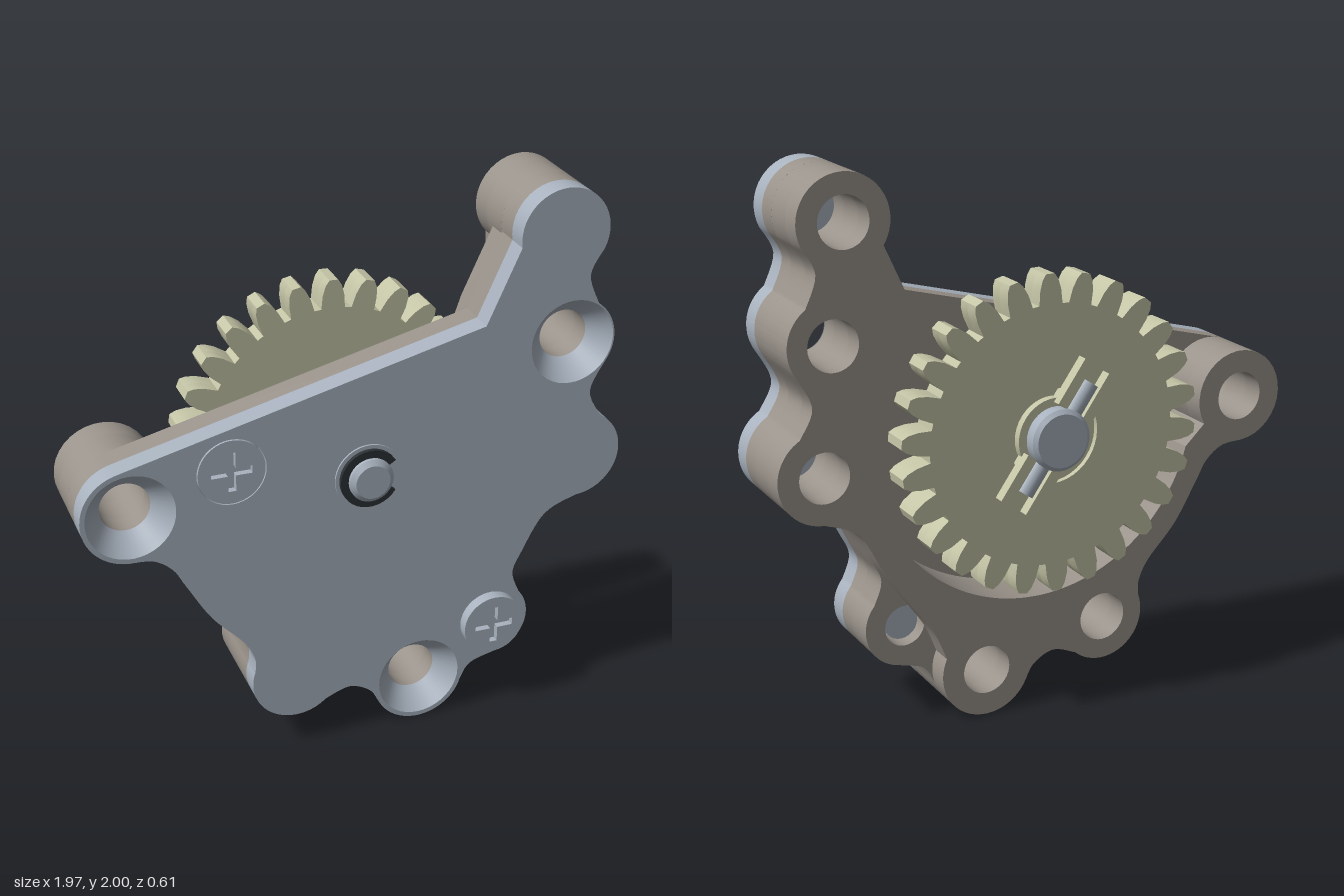
import * as THREE from 'three';
import { toCreasedNormals } from 'three/addons/utils/BufferGeometryUtils.js';

const mat = (name, color, side = THREE.FrontSide) => {
  const m = new THREE.MeshStandardMaterial({ color, side });
  m.name = name;
  return m;
};
const V = (x, y) => new THREE.Vector2(x, y);
const DEG = Math.PI / 180;

// Points along an arc, angles in degrees
function arc(x, y, r, a0, a1, n = 28) {
  return Array.from({ length: n + 1 }, (_, i) => {
    const a = (a0 + (a1 - a0) * i / n) * DEG;
    return V(x + r * Math.cos(a), y + r * Math.sin(a));
  });
}

// Chains arcs; a part marked {via} becomes a smooth valley between its neighbours
function chain(parts) {
  const out = [];
  parts.forEach((p, i) => {
    if (!p.via) { out.push(...p); return; }
    const prev = parts[i - 1], next = parts[(i + 1) % parts.length];
    const spline = new THREE.SplineCurve([prev[prev.length - 1], ...p.via.map(q => V(...q)), next[0]]);
    out.push(...spline.getPoints(p.via.length * 6 + 6).slice(1, -1));
  });
  return out;
}

function createModel() {
  const group = new THREE.Group();
  const steel = mat('blue grey steel', 0xa8b2be);
  const steelOpen = mat('blue grey steel inner', 0xa8b2be, THREE.DoubleSide);
  const casing = mat('warm grey casing', 0x9a938b);
  const cream = mat('pale olive plastic', 0xc4c4a6);
  const black = mat('black clip', 0x2b3135);
  const CX = 0.02, CY = 1.05;

  const add = (name, geo, material, parent = group) => {
    const m = new THREE.Mesh(geo, material);
    m.name = name;
    parent.add(m);
    return m;
  };
  // Slab of a 2D outline between two depths, with round holes [x, y, r]
  const slab = (name, pts, z0, z1, material, holes = [], crease = 0.5) => {
    const s = new THREE.Shape(pts);
    for (const h of holes) {
      s.holes.push(Array.isArray(h) ? new THREE.Path(arc(...h, 0, 360, 40).slice(0, -1)) : h);
    }
    const g = new THREE.ExtrudeGeometry(s, { depth: z1 - z0, bevelEnabled: false });
    g.translate(0, 0, z0);
    return add(name, toCreasedNormals(g, crease), material);
  };
  // Round rod along z; r1 is the radius at the front end
  const rod = (name, x, y, r0, r1, z0, z1, material) => {
    const g = new THREE.CylinderGeometry(r1, r0, z1 - z0, 40).rotateX(Math.PI / 2);
    g.translate(x, y, (z0 + z1) / 2);
    return add(name, g, material);
  };

  // Bosses around the outline
  const L = [-0.815, 1.048], T = [0.722, 1.837], U = [0.77, 1.435], R = [0.815, 0.99];
  const S = [0.5, 0.366], B = [0.225, 0.175], K = [-0.246, 0.286], P = [-0.465, 1.155];
  const rightSide = [
    { via: [[0.823, 1.676]] }, arc(...U, 0.16, 55, -30),
    { via: [[0.85, 1.236]] }, arc(...R, 0.165, 60, -88),
  ];
  const screwLobe = [
    { via: [[0.70, 0.77], [0.616, 0.626], [0.585, 0.546]] }, arc(...S, 0.148, 40, -78),
    { via: [[0.43, 0.19]] }, arc(...B, 0.172, -15, -155),
  ];
  const noScrewLobe = [
    { via: [[0.70, 0.77], [0.616, 0.626], [0.53, 0.5], [0.43, 0.36]] }, arc(...B, 0.172, 25, -155),
  ];
  const leftSide = [
    { via: [[0.034, 0.16], [-0.045, 0.196]] }, arc(...K, 0.163, -48, -200),
    { via: [[-0.4, 0.4], [-0.44, 0.477], [-0.55, 0.6], [-0.638, 0.748], [-0.68, 0.82], [-0.745, 0.868]] },
  ];
  const full = chain([
    arc(...L, 0.172, 265, 104), [V(0.442, 1.544)], arc(...T, 0.163, 190, -25),
    ...rightSide, ...screwLobe, ...leftSide,
  ]);
  const wall = lobe => chain([
    arc(...T, 0.163, 222, -25), ...rightSide, ...lobe, ...leftSide,
    arc(...L, 0.172, 265, -30), arc(CX, CY, 0.63, 195, 380, 60),
    { via: [[0.615, 1.4], [0.605, 1.58]] },
  ]);

  // Casing: floor, middle wall with the screw lobe, rear wall without it
  const bores = [L, T, U, R, B, K].map(p => [...p, 0.09]);
  slab('casingFloor', full, 0.09, 0.175, casing, bores);
  slab('casingMiddleWall', wall(screwLobe), -0.035, 0.09, casing, [...bores, [...S, 0.075]]);
  slab('casingRearWall', wall(noScrewLobe), -0.125, -0.035, casing, bores);
  slab('casingLedge', [V(0.41, 1.43), V(0.455, 1.56), V(0.565, 1.8), V(0.64, 1.75), V(0.64, 1.4)],
    0.01, 0.09, casing);

  // Cover plate with three countersunk holes
  const sunk = [L, U, B];
  slab('coverPlate', full, 0.175, 0.255, steel, [...sunk.map(p => [...p, 0.155]), [...P, 0.122]]);
  for (const p of sunk) {
    const g = new THREE.LatheGeometry([V(0.088, 0), V(0.155, 0.08)], 40).rotateX(Math.PI / 2);
    g.translate(p[0], p[1], 0.175);
    add('countersink', g, steelOpen);
  }

  // Cross-head screws: slotted head, slot bottom and shank
  const cross = (x, y, a = 0.072, w = 0.014) => new THREE.Path(
    [[a, w], [w, w], [w, a], [-w, a], [-w, w], [-a, w], [-a, -w], [-w, -w], [-w, -a], [w, -a], [w, -w], [a, -w]]
      .map(q => V(x + q[0], y + q[1])));
  const screw = ([x, y], r, z0, z1, tip) => {
    slab('screwHead', arc(x, y, r, 0, 360, 40).slice(0, -1), z1 - 0.025, z1, steel, [cross(x, y)]);
    rod('screwHeadBase', x, y, r, r, z0, z1 - 0.025, steel);
    rod('screwShank', x, y, 0.063, 0.063, tip, z0, steel);
  };
  screw(S, 0.115, 0.25, 0.297, 0.0);
  screw(P, 0.118, 0.18, 0.256, -0.04);

  // Gear outline
  const teeth = 26, gear = [];
  const half = [[0.466, 0.094], [0.515, 0.077], [0.55, 0.054], [0.57, 0.028]];
  for (let i = 0; i < teeth; i++) {
    const mid = 88.4 * DEG + i * 2 * Math.PI / teeth;
    const side = [...half.map(([r, a]) => [r, -a]), ...[...half].reverse()];
    for (const [r, a] of side) gear.push(V(CX + r * Math.cos(mid + a), CY + r * Math.sin(mid + a)));
  }
  slab('gearWeb', gear, -0.24, -0.18, cream, [[CX, CY, 0.17]], 0.45);
  slab('gearRim', gear, -0.18, -0.13, cream, [[CX, CY, 0.4]], 0.45);
  rod('gearHub', CX, CY, 0.19, 0.19, -0.22, 0.09, cream);
  slab('gearHubRing', arc(CX, CY, 0.14, 0, 360, 40).slice(0, -1), -0.25, -0.22, cream, [[CX, CY, 0.11]]);

  // Prongs gripping the cross pin
  const grip = new THREE.Group();
  grip.name = 'pinGrip';
  grip.position.set(CX, CY, -0.255);
  grip.rotation.z = 125 * DEG;
  group.add(grip);
  for (const sx of [-1, 1]) {
    for (const sy of [-1, 1]) {
      const prong = add('prong', new THREE.BoxGeometry(0.18, 0.04, 0.055), cream, grip);
      prong.position.set(sx * 0.19, sy * 0.057, 0);
    }
  }
  add('crossPin', new THREE.CylinderGeometry(0.036, 0.036, 0.44, 24).rotateZ(Math.PI / 2), steel, grip);

  // Shaft, with bevelled ends
  rod('shaft', CX, CY, 0.08, 0.08, -0.25, 0.29, steel);
  rod('shaftFrontTip', CX, CY, 0.08, 0.062, 0.29, 0.305, steel);
  rod('shaftRear', CX, CY, 0.11, 0.11, -0.293, -0.21, steel);
  rod('shaftRearTip', CX, CY, 0.095, 0.11, -0.306, -0.293, steel);

  // Washer and open retaining clip
  rod('washer', CX, CY, 0.122, 0.122, 0.25, 0.262, steel);
  slab('retainingClip', [...arc(CX, CY, 0.108, 32, 328), ...arc(CX, CY, 0.075, 328, 32)], 0.262, 0.278, black);

  return group;
}

export { createModel };
